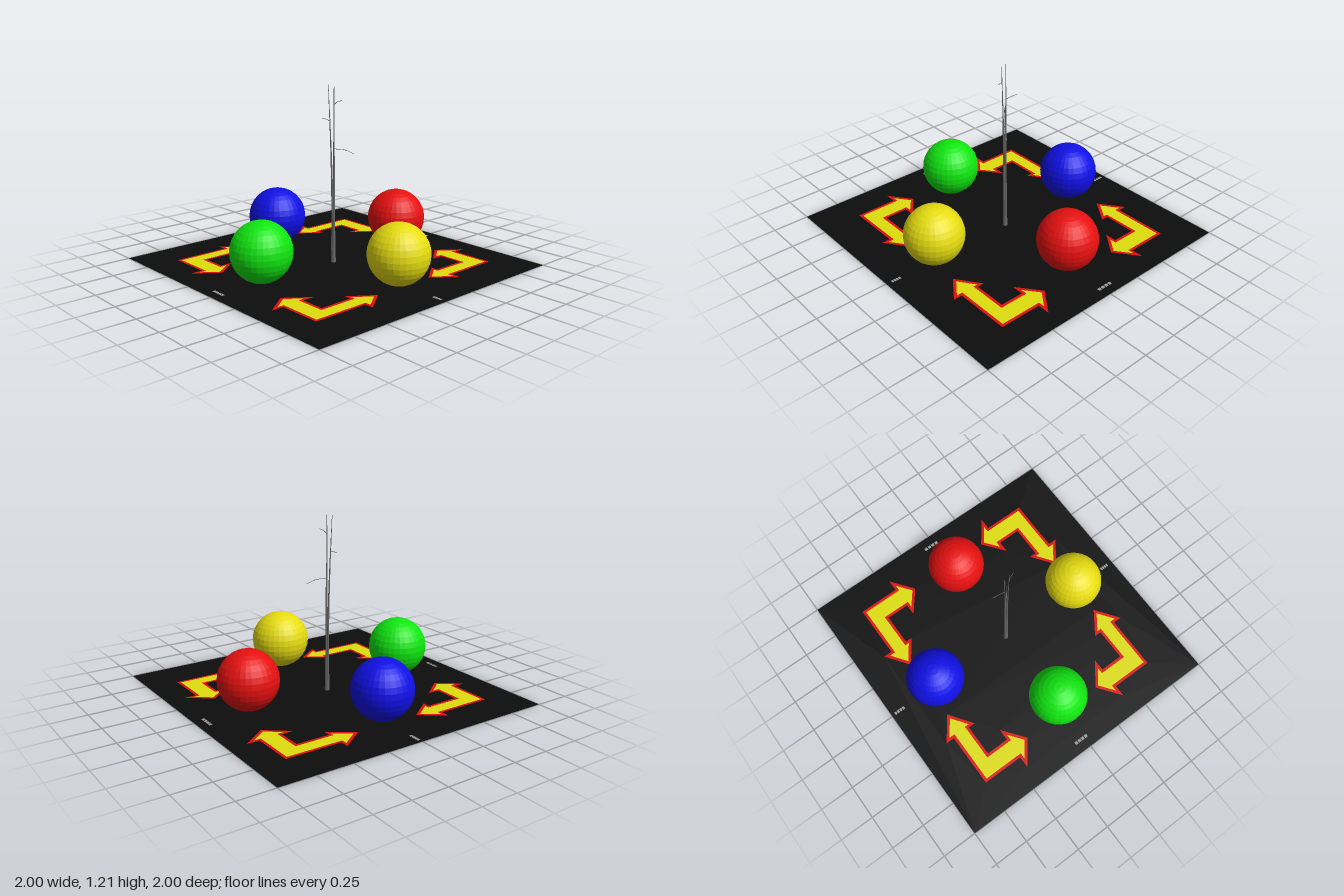
import * as THREE from 'three';

const paint = (name, color, extra = {}) => {
  const m = new THREE.MeshStandardMaterial({ color, ...extra });
  m.name = name;
  return m;
};

// Moves every edge of a closed polygon inward by d, with mitred corners
function inset(points, d) {
  const sign = THREE.ShapeUtils.area(points) > 0 ? 1 : -1;
  const n = points.length;
  return points.map((p, i) => {
    const a = p.clone().sub(points[(i + n - 1) % n]).normalize();
    const b = points[(i + 1) % n].clone().sub(p).normalize();
    const na = new THREE.Vector2(-a.y, a.x).multiplyScalar(sign);
    const nb = new THREE.Vector2(-b.y, b.x).multiplyScalar(sign);
    return na.clone().add(nb).multiplyScalar(d / (1 + na.dot(nb))).add(p);
  });
}

// Tapered stem whose rings follow a curve
function stemGeometry(points, rBase, rTop) {
  const curve = new THREE.CatmullRomCurve3(points.map(p => new THREE.Vector3(...p)));
  const geo = new THREE.CylinderGeometry(rTop, rBase, 1, 8, 16);
  const pos = geo.attributes.position;
  for (let i = 0; i < pos.count; i++) {
    const c = curve.getPoint(THREE.MathUtils.clamp(pos.getY(i) + 0.5, 0, 1));
    pos.setXYZ(i, pos.getX(i) + c.x, c.y, pos.getZ(i) + c.z);
  }
  geo.computeVertexNormals();
  return geo;
}

export function createModel() {
  const model = new THREE.Group();
  model.name = 'gameBoard';

  const two = { side: THREE.DoubleSide };
  const black = paint('board black', 0x0d0d0d, two);
  const arrowYellow = paint('arrow yellow', 0xdede0e, two);
  const arrowRed = paint('arrow outline red', 0xdc1010, two);
  const markGrey = paint('mark grey', 0x999999);
  const barkGrey = paint('stem grey', 0x686868, two);
  const ballColours = {
    red: paint('ball red', 0xe61010),
    green: paint('ball green', 0x10e610),
    blue: paint('ball blue', 0x1010e6),
    yellow: paint('ball yellow', 0xe6dc10),
  };
  for (const m of Object.values(ballColours)) m.flatShading = true;

  const add = (name, geo, material, parent = model) => {
    const mesh = new THREE.Mesh(geo, material);
    mesh.name = name;
    parent.add(mesh);
    return mesh;
  };
  const flat = (shape) => new THREE.ShapeGeometry(shape).rotateX(-Math.PI / 2).translate(0, 0.001, 0);

  // Two-headed corner arrow, described in one quadrant
  const arrow = [
    [0.725, 0.78], [0.43, 0.78], [0.43, 0.865], [0.305, 0.70], [0.43, 0.54], [0.43, 0.625],
    [0.595, 0.625], [0.595, 0.395], [0.545, 0.395], [0.665, 0.228], [0.787, 0.395], [0.725, 0.395],
  ];

  // Board with the arrows let into it, so they show on both faces
  const board = new THREE.Shape([[-1, -1], [1, -1], [1, 1], [-1, 1]].map(p => new THREE.Vector2(...p)));
  for (const sx of [-1, 1]) {
    for (const sy of [-1, 1]) {
      const outer = arrow.map(([x, y]) => new THREE.Vector2(sx * x - 0.015, sy * y + 0.009));
      const inner = inset(outer, 0.02);
      board.holes.push(new THREE.Path(outer));
      const border = new THREE.Shape(outer);
      border.holes.push(new THREE.Path(inner));
      add('arrowOutline', flat(border), arrowRed);
      add('arrowFill', flat(new THREE.Shape(inner)), arrowYellow);
    }
  }
  add('board', flat(board), black);

  // Small plain dashes near the middle of each edge
  for (const [x, z, w] of [[-0.025, -0.925, 0.12], [-0.025, 0.925, 0.11], [-0.935, -0.005, 0.085], [0.928, -0.005, 0.07]]) {
    for (let i = 0; i < 4; i++) {
      const dash = add('edgeMark', new THREE.BoxGeometry(w / 5, 0.002, 0.022), markGrey);
      dash.position.set(x + (i - 1.5) * w / 4, 0.001, z);
    }
  }

  // Four balls
  for (const [colour, x, z] of [['red', 0, -0.61], ['green', 0, 0.61], ['blue', -0.61, 0], ['yellow', 0.61, 0]]) {
    add(colour + 'Ball', new THREE.SphereGeometry(0.203, 32, 16), ballColours[colour]).position.set(x, 0.205, z);
  }

  // Bundle of slender stems on a thicker foot
  const plant = new THREE.Group();
  plant.name = 'plant';
  model.add(plant);
  add('foot', new THREE.CylinderGeometry(0.014, 0.017, 0.08, 8).translate(0, 0.04, 0), barkGrey, plant);
  const stems = [
    [[-0.006, 0, 0.003], [-0.007, 0.4, 0.003], [-0.014, 0.8, 0.01], [-0.026, 1.21, 0.022]],
    [[0.006, 0, 0.003], [0.007, 0.4, 0.002], [0.011, 0.8, 0.006], [0.019, 1.21, 0.012]],
    [[0, 0, -0.006], [0, 0.4, -0.005], [0.003, 0.7, -0.004], [0.006, 0.92, 0]],
  ];
  for (const s of stems) add('stem', stemGeometry(s, 0.01, 0.0015), barkGrey, plant);

  // Fine drooping twigs
  const twigs = [
    [[0.008, 0.785, 0], [0.045, 0.778, -0.055], [0.08, 0.748, -0.11]],
    [[-0.02, 0.968, 0.014], [-0.055, 0.976, 0.01], [-0.105, 0.978, 0.005]],
    [[0.016, 1.08, 0.01], [0.035, 1.1, 0], [0.068, 1.11, -0.012]],
  ];
  for (const t of twigs) {
    const path = new THREE.CatmullRomCurve3(t.map(p => new THREE.Vector3(...p)));
    add('twig', new THREE.TubeGeometry(path, 10, 0.0018, 5), barkGrey, plant);
  }
  return model;
}
